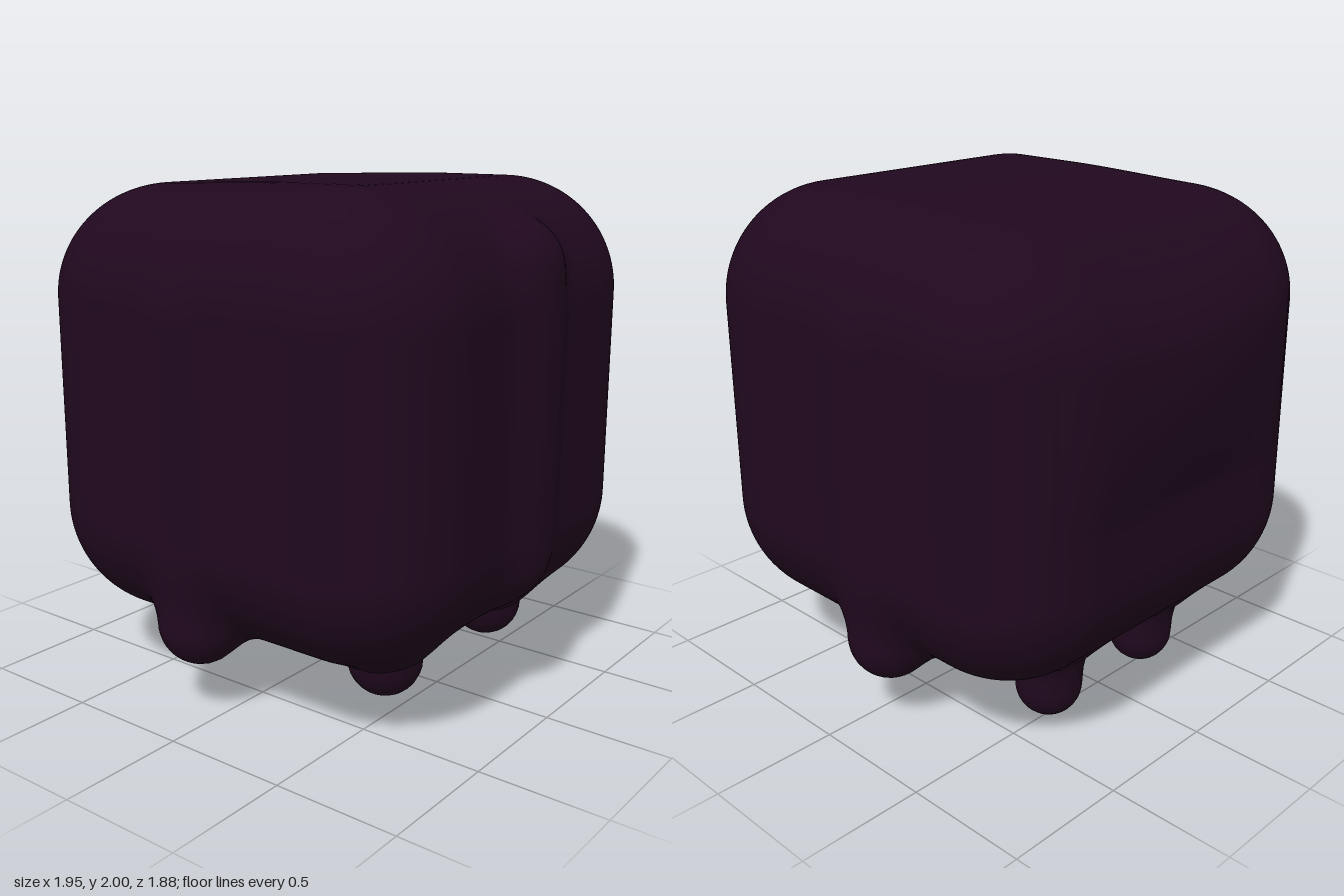
import * as THREE from 'three';
import { mergeVertices } from 'three/addons/utils/BufferGeometryUtils.js';

const { smoothstep } = THREE.MathUtils;
const v = (x, y, z) => new THREE.Vector3(x, y, z);

// Four drips hang from the underside: position, tip height, radius
const drips = [];
// Soft capsules that swell the skin: streaks down the walls and drip roots
const swellings = [{ a: v(0.785, 0.62, 0), b: v(0.805, 1.71, 0), r: 0.16, k: 0.11 }];
for (const s of [1, -1]) {
  const end = s > 0 ? 'front' : 'back';
  drips.push({ name: end + 'LongDrip', x: -0.485, z: s * 0.285, tip: 0, r: 0.132 });
  drips.push({ name: end + 'ShortDrip', x: 0.5, z: s * 0.365, tip: 0.1, r: 0.145 });
  swellings.push({ a: v(-0.085, 0.37, s * 0.745), b: v(-0.085, 1.52, s * 0.735), r: 0.165, k: 0.1 });
}
for (const d of drips) {
  swellings.push({ a: v(d.x, 0.36, d.z), b: v(d.x, 0.5, d.z), r: d.r + 0.01, k: 0.15 });
}

// Signed distance to a capsule, and a blended minimum of two distances
const capsuleDistance = (p, { a, b, r }) =>
  new THREE.Line3(a, b).closestPointToPoint(p, true, v()).distanceTo(p) - r;
const blend = (d, e, k) => Math.min(d, e) - (Math.max(k - Math.abs(d - e), 0) ** 2) / (4 * k);
const hump = (t) => (Math.abs(t) < 1 ? Math.cos((t * Math.PI) / 2) : 0);

// Body: a rounded box with a swollen -x side, pushed outward over the swellings
function bodyGeometry() {
  const half = v(0.905, 0.86, 0.918);
  const radius = 0.45;
  const inner = half.clone().subScalar(radius);
  const outer = inner.clone().negate();
  const box = new THREE.BoxGeometry(half.x * 2, half.y * 2, half.z * 2, 64, 64, 64);
  box.deleteAttribute('normal');
  box.deleteAttribute('uv');
  const geometry = mergeVertices(box);
  const pos = geometry.attributes.position;
  const p = v();
  const core = v();
  const sample = v();
  for (let i = 0; i < pos.count; i++) {
    p.fromBufferAttribute(pos, i);
    core.copy(p).clamp(outer, inner);
    const normal = p.clone().sub(core).normalize();
    p.copy(core).addScaledVector(normal, radius);
    p.x += 0.01;
    p.y += 1.14;
    if (p.x < 0) {
      const side = smoothstep(-p.x, 0.4, 0.85);
      p.x -= 0.08 * side * hump((p.y - 1.42) / 0.45) * hump(p.z / 0.65);
    }
    // the top sinks slightly towards -x
    if (p.y > 1.6) p.y -= 0.02 * smoothstep(-p.x, -0.2, 0.6) * ((p.y - 1.6) / 0.4);

    // walk along the normal to the blended skin
    const near = swellings.filter((s) => capsuleDistance(p, s) < 0.2);
    let t = 0;
    for (let step = 0; near.length && step < 24; step++) {
      sample.copy(p).addScaledVector(normal, t);
      let d = t;
      for (const s of near) d = blend(d, capsuleDistance(sample, s), s.k);
      t -= d * 0.8;
    }
    p.addScaledVector(normal, t);
    pos.setXYZ(i, p.x, p.y, p.z);
  }
  geometry.computeVertexNormals();
  return geometry;
}

// Drip: round tip, straight sides and a flared root sunk in the body
function dripGeometry({ tip, r }) {
  const points = [];
  for (let i = 0; i <= 8; i++) {
    const a = (i / 8) * (Math.PI / 2);
    points.push(new THREE.Vector2(r * Math.sin(a), tip + r * (1 - Math.cos(a))));
  }
  const root = Math.max(0.2, tip + r + 0.02);
  points.push(
    new THREE.Vector2(r * 1.03, root),
    new THREE.Vector2(r * 1.1, root + 0.05),
    new THREE.Vector2(r * 1.3, root + 0.13),
  );
  return new THREE.LatheGeometry(points, 28);
}

export function createModel() {
  const model = new THREE.Group();
  model.name = 'slimeCube';
  const darkPlum = new THREE.MeshStandardMaterial({ color: 0x20081e });
  darkPlum.name = 'darkPlum';

  const body = new THREE.Mesh(bodyGeometry(), darkPlum);
  body.name = 'body';
  model.add(body);

  for (const d of drips) {
    const mesh = new THREE.Mesh(dripGeometry(d), darkPlum);
    mesh.name = d.name;
    mesh.position.set(d.x, 0, d.z);
    model.add(mesh);
  }
  return model;
}
